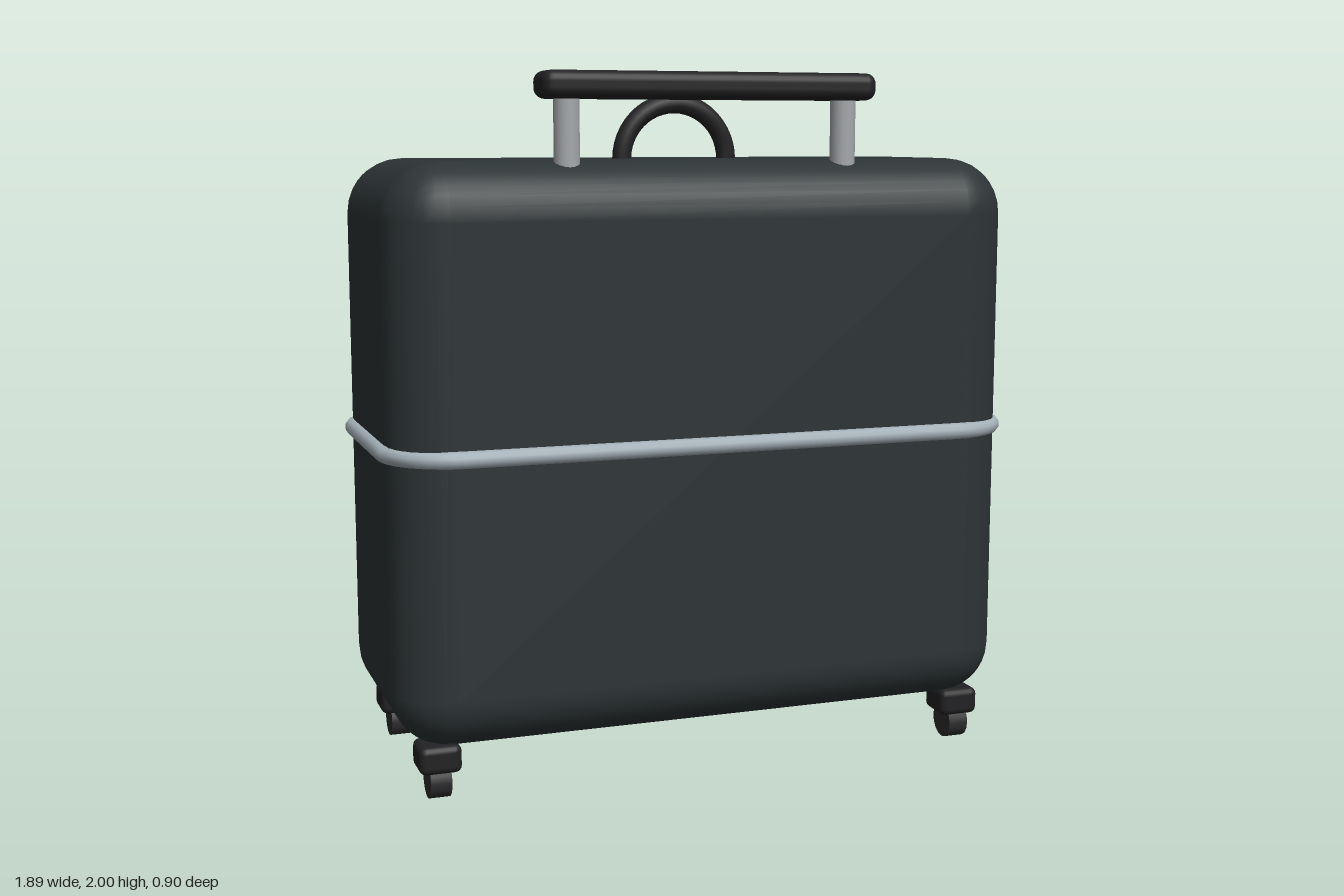
import * as THREE from 'three';
import { RoundedBoxGeometry } from 'three/addons/geometries/RoundedBoxGeometry.js';

const mat = (color) => new THREE.MeshStandardMaterial({ color });
const shellMat = mat(0x2d3436);
const blackMat = mat(0x222224);
const metalMat = mat(0xa4b0b8);
const poleMat = mat(0xa5a8ab);
const panelMat = mat(0x6a6b6c);
const wheelMat = mat(0x2e2e30);
const seamMat = mat(0xaaaaaa);

export function createModel() {
  const group = new THREE.Group();
  const add = (name, geometry, material, x, y, z) => {
    const mesh = new THREE.Mesh(geometry, material);
    mesh.name = name;
    mesh.position.set(x, y, z);
    group.add(mesh);
    return mesh;
  };
  const CZ = 0.01; // depth centre of the shell

  // Hard shell
  add('shell', new RoundedBoxGeometry(1.84, 1.62, 0.82, 4, 0.16), shellMat, 0, 0.95, CZ);

  // Metal band: a tube around a rounded rectangle
  const hx = 0.922, hz = 0.412, r = 0.18;
  const path = new THREE.CurvePath();
  const corners = [[1, 1, 0], [-1, 1, 1], [-1, -1, 2], [1, -1, 3]];
  const points = [];
  for (const [sx, sz, quarter] of corners) {
    for (let i = 0; i <= 8; i++) {
      const a = (quarter + i / 8) * Math.PI / 2;
      points.push(new THREE.Vector3(sx * (hx - r) + r * Math.cos(a), 0, sz * (hz - r) + r * Math.sin(a)));
    }
  }
  points.forEach((p, i) => path.add(new THREE.LineCurve3(p, points[(i + 1) % points.length])));
  add('band', new THREE.TubeGeometry(path, 160, 0.024, 10, true), metalMat, 0, 0.97, CZ);

  // Back panel with a curved seam
  add('backPanel', new RoundedBoxGeometry(1.52, 1.06, 0.1, 4, 0.04), panelMat, 0, 0.84, -0.398);
  const seam = new THREE.QuadraticBezierCurve3(
    new THREE.Vector3(-0.48, 0.84, 0), new THREE.Vector3(0, 0.17, 0), new THREE.Vector3(0.48, 0.84, 0));
  add('panelSeam', new THREE.TubeGeometry(seam, 32, 0.006, 6, false), seamMat, 0, 0, -0.445);

  // Telescopic handle
  add('trolleyGrip', new RoundedBoxGeometry(0.98, 0.076, 0.14, 3, 0.03), blackMat, 0, 1.962, 0.3);
  for (const side of [-1, 1]) {
    add('trolleyPole', new THREE.CylinderGeometry(0.036, 0.036, 0.22, 16), poleMat, side * 0.41, 1.85, 0.3);
  }

  // Carry handle
  add('carryHandle', new THREE.TorusGeometry(0.162, 0.029, 10, 24, Math.PI), blackMat, 0, 1.757, 0.014);

  // Casters
  for (const x of [-0.8, 0.8]) {
    for (const z of [0.302, -0.272]) {
      add('casterHousing', new RoundedBoxGeometry(0.12, 0.08, 0.12, 2, 0.02), blackMat, x, 0.12, z);
      add('casterWheel', new THREE.CylinderGeometry(0.053, 0.053, 0.06, 16), wheelMat, x, 0.053, z).rotation.z = Math.PI / 2;
    }
  }
  return group;
}
